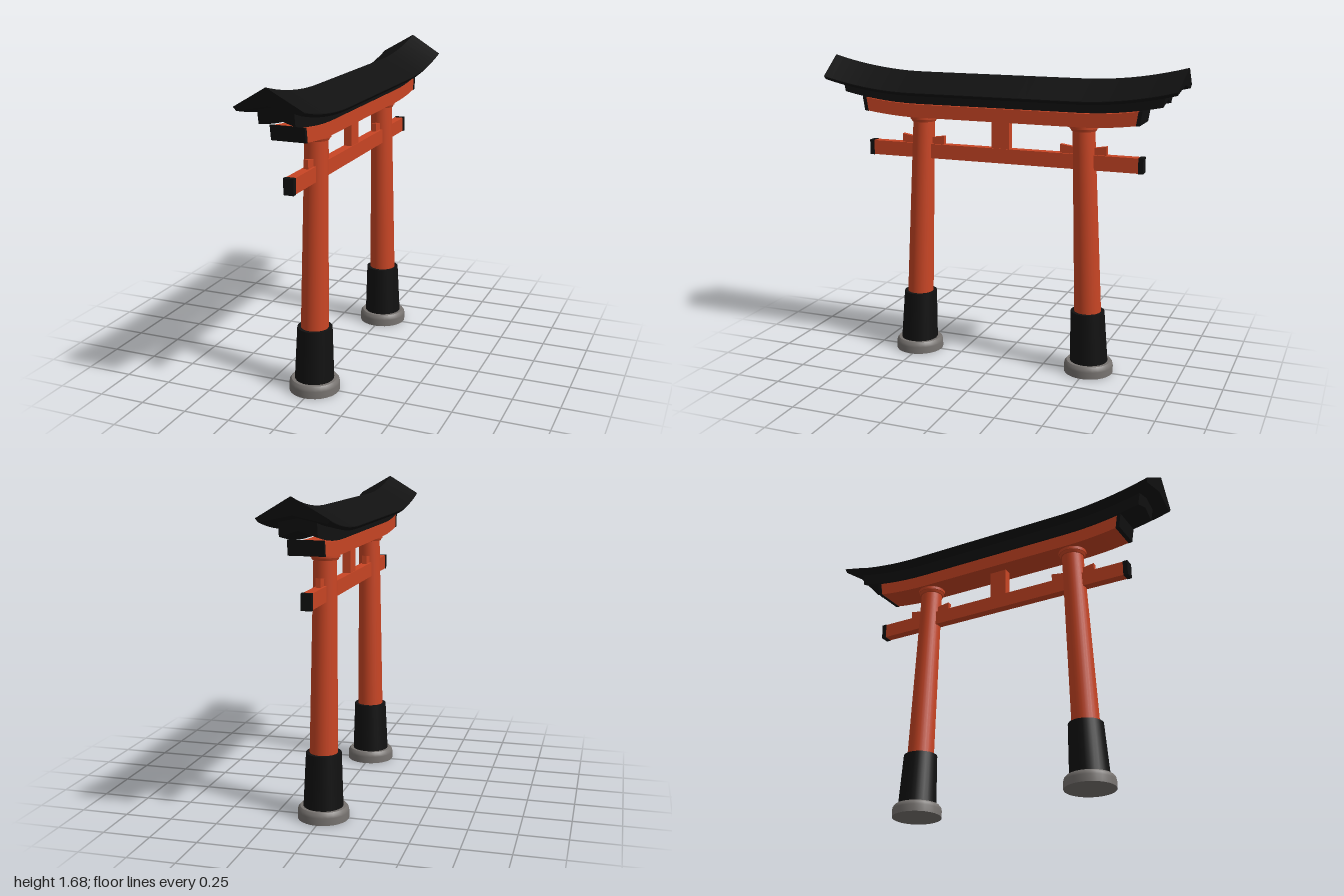
import * as THREE from 'three';

const lacquer = new THREE.MeshStandardMaterial({ color: 0xc94524 });
lacquer.name = 'vermilion lacquer';
const black = new THREE.MeshStandardMaterial({ color: 0x111111 });
black.name = 'black';
const stone = new THREE.MeshStandardMaterial({ color: 0x777370 });
stone.name = 'grey stone';

// Upward sweep of the upper beams: flat in the middle, rising to the ends
const rise = (z) => 0.075 * Math.pow(Math.max(0, Math.abs(z) - 0.45) / 0.55, 2);

// Sweep a mirrored cross-section along z. half runs from the top centre,
// down the -x side, to the bottom centre; ends lean outward with height.
function sweptBeam(name, half, from, to, steps, material) {
  const mirrored = half.filter((p) => p[0] !== 0).map(([x, y]) => [-x, y]).reverse();
  const section = [...half, ...mirrored];
  const n = section.length;
  const rings = [];
  for (let i = 0; i <= steps; i++) {
    const s = from + ((to - from) * i) / steps;
    rings.push(section.map(([x, y]) => {
      const z = s * (1 + 0.2 * (y - 1.605));
      return [x, y + rise(z), z];
    }));
  }
  const pos = [];
  const tri = (a, b, c) => pos.push(...a, ...b, ...c);
  for (let r = 0; r < steps; r++) {
    for (let i = 0; i < n; i++) {
      const j = (i + 1) % n, a = rings[r], b = rings[r + 1];
      tri(a[i], a[j], b[j]);
      tri(a[i], b[j], b[i]);
    }
  }
  // End faces
  for (let i = 1; i < n - 1; i++) {
    const a = rings[0], b = rings[steps];
    tri(a[0], a[i + 1], a[i]);
    tri(b[0], b[i], b[i + 1]);
  }
  const g = new THREE.BufferGeometry();
  g.setAttribute('position', new THREE.Float32BufferAttribute(pos, 3));
  g.computeVertexNormals();
  const mesh = new THREE.Mesh(g, material);
  mesh.name = name;
  return mesh;
}

function box(name, w, h, d, y, z, material) {
  const mesh = new THREE.Mesh(new THREE.BoxGeometry(w, h, d), material);
  mesh.name = name;
  mesh.position.set(0, y, z);
  return mesh;
}

// Round part between two heights whose centre follows the leaning post
function leaning(name, r0, y0, r1, y1, side, material) {
  const g = new THREE.CylinderGeometry(r1, r0, y1 - y0, 28);
  g.translate(0, (y0 + y1) / 2, 0);
  const p = g.attributes.position;
  for (let i = 0; i < p.count; i++) {
    p.setZ(i, p.getZ(i) + side * (0.515 - 0.041 * p.getY(i)));
  }
  const mesh = new THREE.Mesh(g, material);
  mesh.name = name;
  return mesh;
}

// Wedge whose top falls toward the post
function wedge(zOuter, zInner) {
  const shape = new THREE.Shape([
    new THREE.Vector2(zOuter, 1.205), new THREE.Vector2(zInner, 1.205),
    new THREE.Vector2(zInner, 1.238), new THREE.Vector2(zOuter, 1.257),
  ]);
  const g = new THREE.ExtrudeGeometry(shape, { depth: 0.026, bevelEnabled: false });
  g.translate(0, 0, -0.013);
  g.rotateY(-Math.PI / 2);
  const mesh = new THREE.Mesh(g, lacquer);
  mesh.name = 'wedge';
  return mesh;
}

export function createModel() {
  const gate = new THREE.Group();
  gate.name = 'gate';

  // Roof beam and the tier beneath it
  gate.add(sweptBeam('roofBeam',
    [[0, 1.605], [-0.175, 1.508], [-0.175, 1.505], [-0.162, 1.49], [0, 1.523]], -1, 1, 40, black));
  gate.add(sweptBeam('underRoofBeam',
    [[0, 1.53], [-0.093, 1.511], [-0.093, 1.439], [0, 1.468]], -0.925, 0.925, 36, black));

  // Upper lintel with dark ends
  const lintel = [[0, 1.435], [-0.088, 1.435], [-0.088, 1.363], [0, 1.363]];
  const lintelEnd = [[0, 1.436], [-0.09, 1.436], [-0.09, 1.361], [0, 1.361]];
  gate.add(sweptBeam('upperLintel', lintel, -0.8, 0.8, 32, lacquer));
  gate.add(sweptBeam('lintelEnd', lintelEnd, 0.796, 0.818, 1, black));
  gate.add(sweptBeam('lintelEnd', lintelEnd, -0.818, -0.796, 1, black));

  // Tie beam and centre strut
  gate.add(box('tieBeam', 0.05, 0.08, 1.54, 1.17, 0, lacquer));
  gate.add(box('centreStrut', 0.044, 0.16, 0.1, 1.287, 0, lacquer));

  for (const side of [1, -1]) {
    gate.add(box('tieBeamEnd', 0.054, 0.084, 0.026, 1.17, side * 0.774, black));

    const post = new THREE.Group();
    post.name = side > 0 ? 'frontPost' : 'backPost';
    post.add(leaning('shaft', 0.077, 0.06, 0.059, 1.365, side, lacquer));
    post.add(leaning('collarLower', 0.066, 1.334, 0.073, 1.35, side, lacquer));
    post.add(leaning('collarUpper', 0.076, 1.348, 0.077, 1.366, side, lacquer));
    post.add(leaning('sleeve', 0.104, 0.055, 0.092, 0.347, side, black));

    // Stone footing with a rounded shoulder
    const profile = [[0, 0], [0.134, 0], [0.134, 0], [0.134, 0.038], [0.131, 0.053],
      [0.121, 0.065], [0.121, 0.065], [0, 0.065]].map(([x, y]) => new THREE.Vector2(x, y));
    const footing = new THREE.Mesh(new THREE.LatheGeometry(profile, 28), stone);
    footing.name = 'footing';
    footing.position.z = side * 0.512;
    post.add(footing);

    // Wedges on both sides of the post
    post.add(wedge(side * 0.588, side * 0.47), wedge(side * 0.335, side * 0.46));
    gate.add(post);
  }
  return gate;
}
